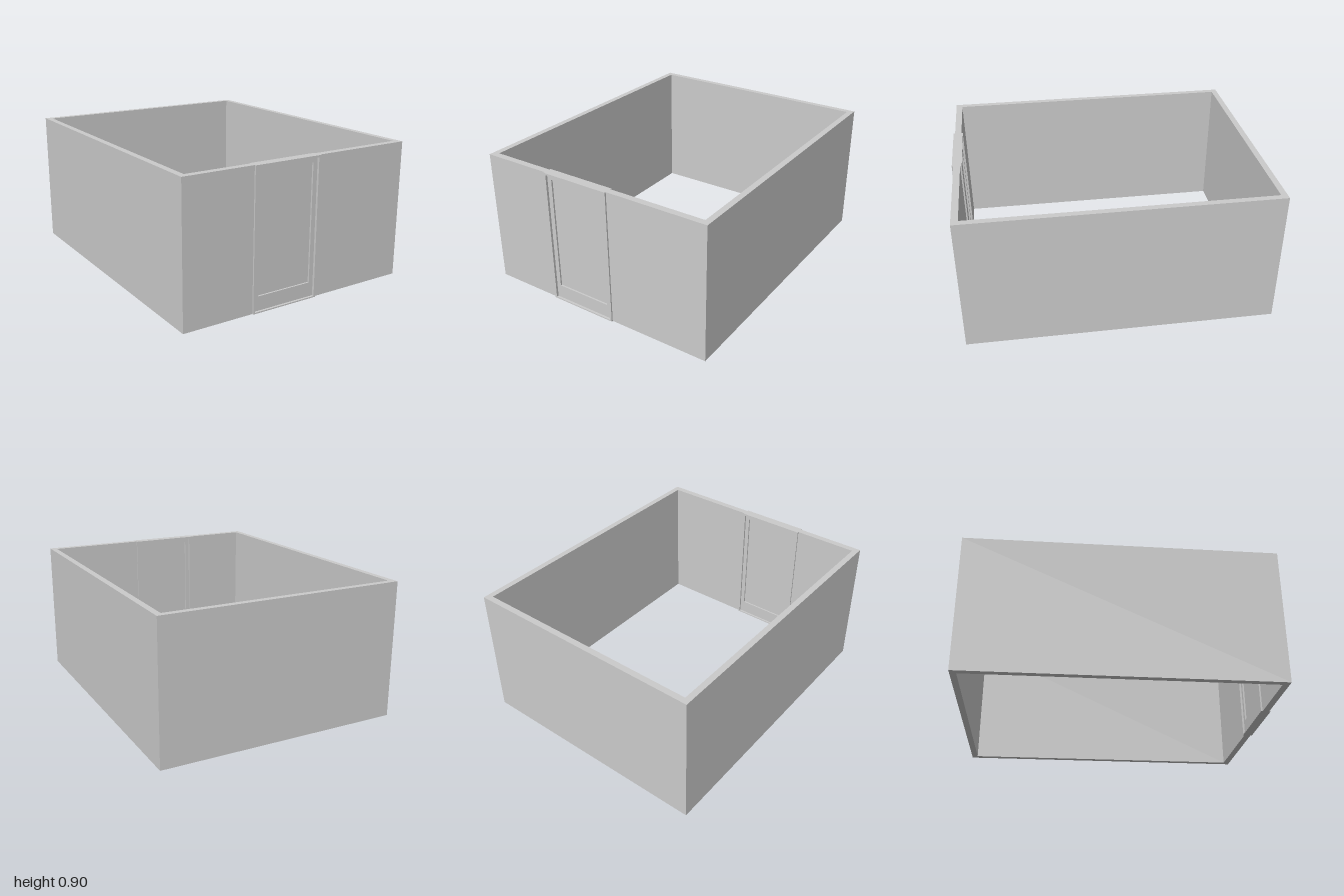
import * as THREE from 'three';

const material = new THREE.MeshStandardMaterial({ color: 0xcccccc, flatShading: true });
const H = 0.9;

function add(group, name, geometry) {
  const mesh = new THREE.Mesh(geometry, material);
  mesh.name = name;
  group.add(mesh);
}

// Box given by its limits on each axis
function box(x0, x1, y0, y1, z0, z1) {
  return new THREE.BoxGeometry(x1 - x0, y1 - y0, z1 - z0)
    .translate((x0 + x1) / 2, (y0 + y1) / 2, (z0 + z1) / 2);
}

function rect(target, x0, x1, y0, y1) {
  target.moveTo(x0, y0);
  target.lineTo(x1, y0);
  target.lineTo(x1, y1);
  target.lineTo(x0, y1);
  target.closePath();
  return target;
}

// Rectangular ring extruded from z0 to z1; outer and inner are [x0, x1, y0, y1]
function ring(outer, inner, z0, z1) {
  const shape = rect(new THREE.Shape(), ...outer);
  shape.holes.push(rect(new THREE.Path(), ...inner));
  return new THREE.ExtrudeGeometry(shape, { depth: z1 - z0, bevelEnabled: false }).translate(0, 0, z0);
}

export function createModel() {
  const room = new THREE.Group();
  room.name = 'room';
  const doorLeft = -0.34, doorRight = 0.13;

  // Walls: one continuous plan outline, open at the doorway (plan y is -z)
  const plan = [
    [doorLeft, 0.99], [-0.81, 0.99], [-0.81, -1], [0.81, -1], [0.81, 0.99], [doorRight, 0.99],
    [doorRight, 0.947], [0.77, 0.947], [0.77, -0.96], [-0.77, -0.96], [-0.77, 0.947], [doorLeft, 0.947],
  ];
  const wallShape = new THREE.Shape(plan.map(([x, z]) => new THREE.Vector2(x, -z)));
  add(room, 'walls', new THREE.ExtrudeGeometry(wallShape, { depth: H, bevelEnabled: false }).rotateX(-Math.PI / 2));

  // Door: frame standing slightly proud, recessed leaf and thinner panel
  const door = new THREE.Group();
  door.name = 'door';
  const leaf = [-0.326, 0.117, 0.008, 0.887];
  const panel = [-0.296, 0.087, 0.1, 0.858];
  add(door, 'doorFrame', ring([doorLeft, doorRight, 0, H], leaf, 0.937, 1));
  add(door, 'doorLeaf', ring(leaf, panel, 0.95, 0.985));
  add(door, 'doorPanel', box(...panel, 0.961, 0.974));
  room.add(door);

  return room;
}
